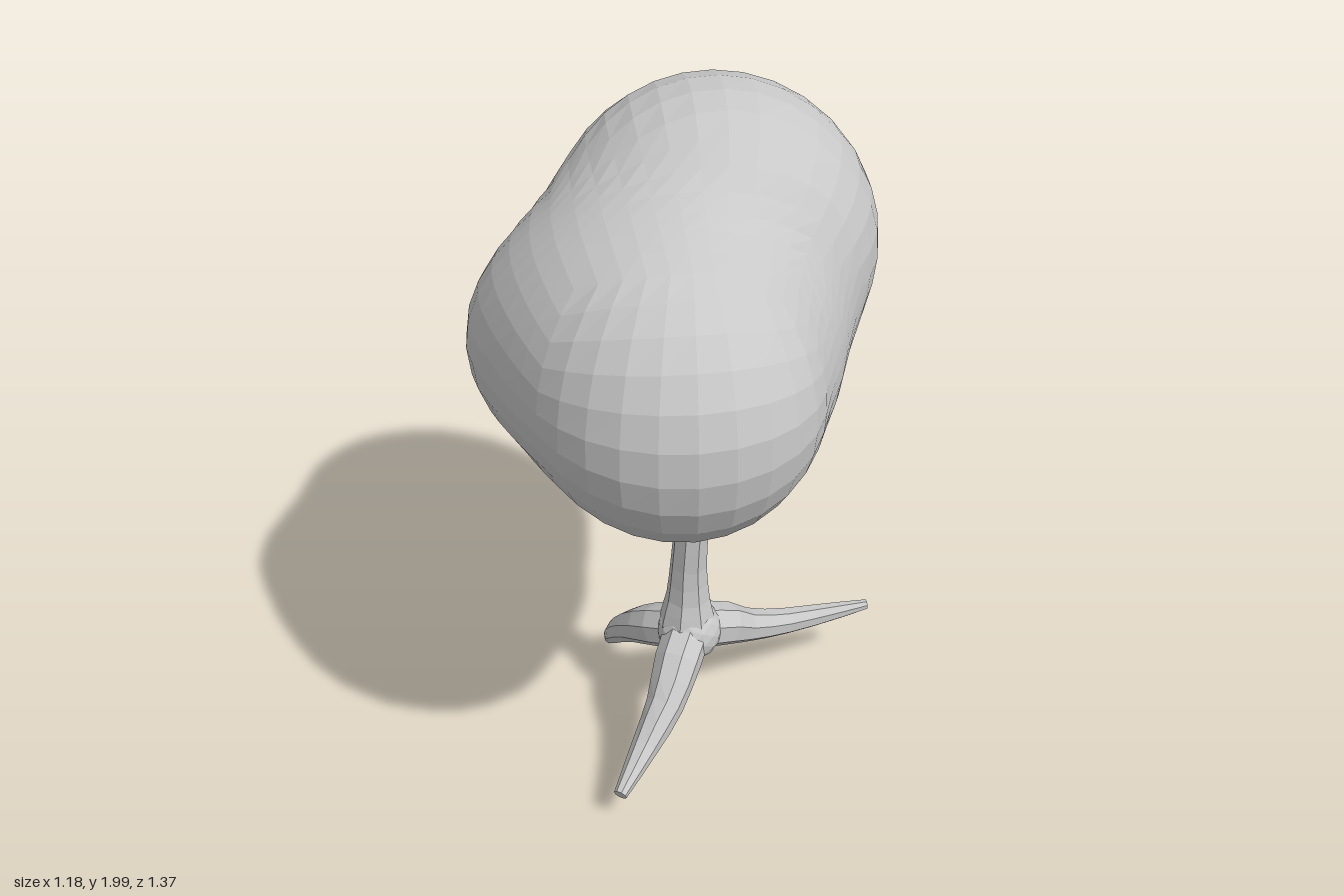
import * as THREE from 'three';

const grey = new THREE.MeshStandardMaterial({ name: 'plain grey', color: 0xc8c8c8, flatShading: true });

// Foliage lobes: x, y, z, radius
const LOBES = [
  [0.095, 1.55, -0.235, 0.45], // back
  [-0.06, 1.4, 0.315, 0.37], // front
  [-0.27, 1.37, -0.06, 0.32], // right side
  [-0.12, 1.45, 0.12, 0.335], // fills the middle
  [0.08, 1.29, 0.04, 0.28], // underside, above the trunk
];

// Distance to the lobes, softly blended where they meet
function lobeDistance(p) {
  const k = 0.2;
  return LOBES.map(([x, y, z, r]) => Math.hypot(p.x - x, p.y - y, p.z - z) - r).reduce((a, b) => {
    const h = Math.max(k - Math.abs(a - b), 0) / k;
    return Math.min(a, b) - h * h * k * 0.25;
  });
}

// A gridded ball whose vertices are pushed out to the blended surface
function makeCrown() {
  const geo = new THREE.BoxGeometry(2, 2, 2, 11, 11, 11);
  const pos = geo.attributes.position;
  const centre = new THREE.Vector3(-0.01, 1.42, 0.02);
  const dir = new THREE.Vector3();
  const p = new THREE.Vector3();
  for (let i = 0; i < pos.count; i++) {
    dir.fromBufferAttribute(pos, i);
    // even out the grid before projecting
    dir.set(...dir.toArray().map((c) => Math.tan((c * Math.PI) / 4))).normalize();
    let near = 0;
    let far = 1.2;
    for (let step = 0; step < 24; step++) {
      const mid = (near + far) / 2;
      p.copy(centre).addScaledVector(dir, mid);
      if (lobeDistance(p) < 0) near = mid;
      else far = mid;
    }
    pos.setXYZ(i, p.x, p.y, p.z);
  }
  geo.computeVertexNormals();
  return geo;
}

// Tapering faceted limb through points [x, y, z, radius], closed at both ends
function makeLimb(points, rows, sides = 8) {
  const path = new THREE.CatmullRomCurve3(points.map((p) => new THREE.Vector3(p[0], p[1], p[2])));
  const radii = new THREE.CatmullRomCurve3(points.map((p, i) => new THREE.Vector3(i, p[3], 0)));
  const verts = [];
  const index = [];
  for (let i = 0; i <= rows; i++) {
    const c = path.getPoint(i / rows);
    const r = radii.getPoint(i / rows).y;
    const t = path.getTangent(i / rows);
    const ref = points[points.length - 1][1] > 0.9 ? new THREE.Vector3(0, 0, 1) : new THREE.Vector3(0, 1, 0);
    const across = new THREE.Vector3().crossVectors(t, ref).normalize();
    const up = new THREE.Vector3().crossVectors(across, t).normalize();
    for (let s = 0; s < sides; s++) {
      const a = ((s + 0.5) / sides) * Math.PI * 2;
      const v = c.clone().addScaledVector(across, Math.cos(a) * r).addScaledVector(up, Math.sin(a) * r);
      verts.push(v.x, v.y, v.z);
      if (i < rows) {
        const a0 = i * sides + s;
        const a1 = i * sides + ((s + 1) % sides);
        index.push(a0, a0 + sides, a1 + sides, a0, a1 + sides, a1);
      }
    }
  }
  // end caps
  const last = rows * sides;
  for (let s = 1; s < sides - 1; s++) {
    index.push(0, s, s + 1, last, last + s + 1, last + s);
  }
  const geo = new THREE.BufferGeometry();
  geo.setAttribute('position', new THREE.Float32BufferAttribute(verts, 3));
  geo.setIndex(index);
  geo.computeVertexNormals();
  return geo;
}

export function createModel() {
  const model = new THREE.Group();
  model.name = 'tree';
  const add = (name, geo) => {
    const mesh = new THREE.Mesh(geo, grey);
    mesh.name = name;
    model.add(mesh);
  };

  add('crown', makeCrown());

  // Trunk, flaring at the crown and where the roots join
  add('trunk', makeLimb([
    [0, 0.34, -0.025, 0.085], [0, 0.4, -0.027, 0.085], [0.002, 0.48, -0.03, 0.067], [0.003, 0.6, -0.028, 0.055],
    [0.012, 0.76, -0.022, 0.052], [0.022, 0.9, -0.038, 0.058], [0.022, 1.0, -0.045, 0.083], [0.025, 1.1, -0.04, 0.09],
  ], 14));

  // Rounded joint under the trunk
  add('rootJoint', new THREE.IcosahedronGeometry(0.097, 2).translate(0.005, 0.358, -0.025));

  // Three spreading roots
  add('leftRoot', makeLimb([
    [0.01, 0.365, -0.025, 0.07], [0.1, 0.33, -0.07, 0.07], [0.2, 0.272, -0.12, 0.052],
    [0.31, 0.238, -0.165, 0.043], [0.45, 0.233, -0.195, 0.032], [0.59, 0.24, -0.215, 0.016],
  ], 8));
  add('frontRoot', makeLimb([
    [0, 0.365, -0.01, 0.07], [-0.042, 0.318, 0.075, 0.07], [-0.092, 0.235, 0.17, 0.056],
    [-0.16, 0.162, 0.26, 0.041], [-0.245, 0.102, 0.388, 0.02],
  ], 8));
  add('backRoot', makeLimb([
    [0, 0.365, -0.03, 0.07], [-0.08, 0.318, -0.1, 0.068], [-0.155, 0.235, -0.205, 0.051],
    [-0.195, 0.132, -0.305, 0.038], [-0.21, 0.018, -0.413, 0.02],
  ], 8));
  return model;
}
